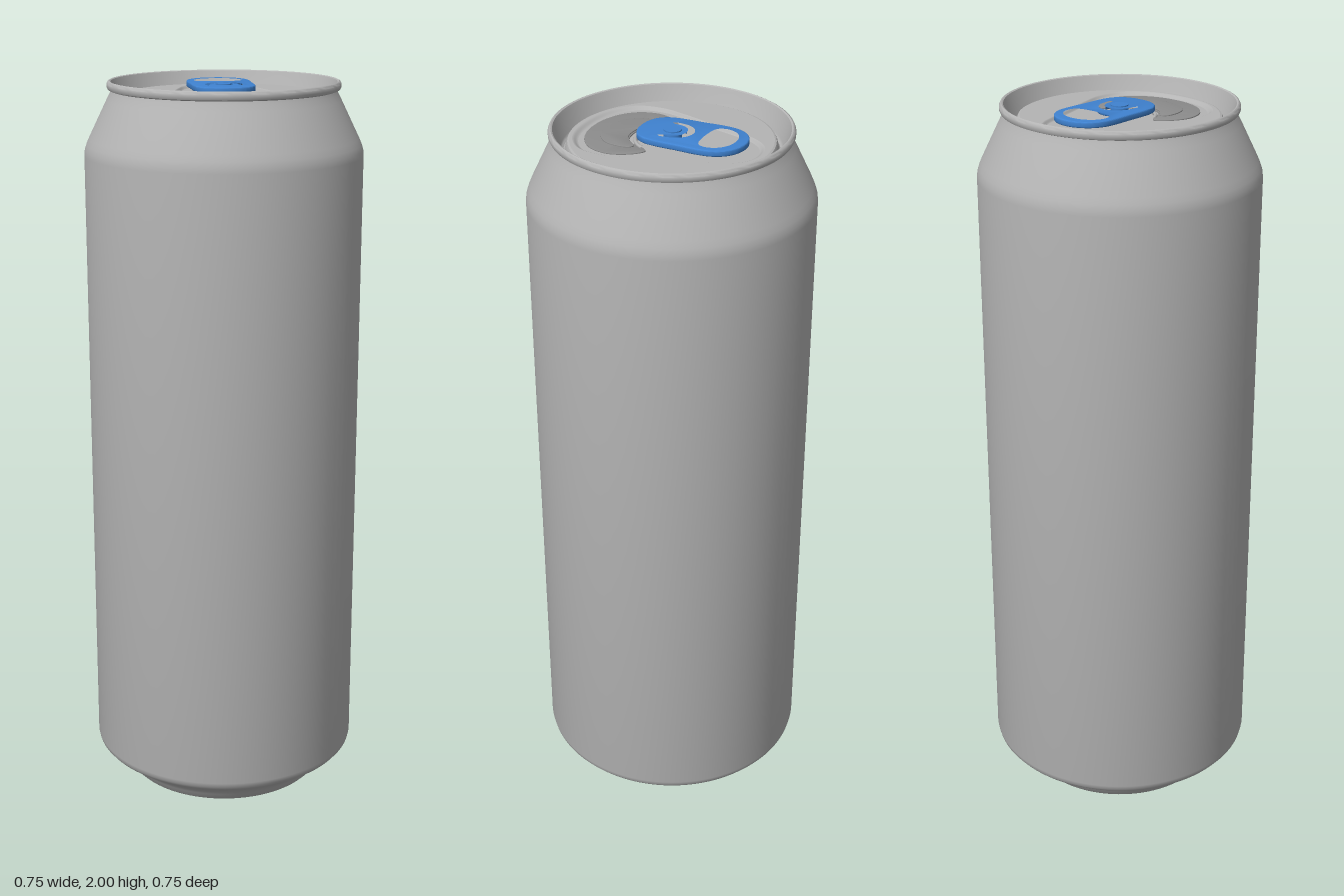
import * as THREE from 'three';
import { toCreasedNormals } from 'three/addons/utils/BufferGeometryUtils.js';

const PANEL_Y = 1.966, FLOOR_Y = 1.958;

// Closed smooth outline from its right half, given as [x, z] pairs; shape y is -z
function outline(half, count = 96) {
  const left = half.slice(1, -1).reverse().map(([x, z]) => [-x, z]);
  const pts = [...half, ...left].map(([x, z]) => new THREE.Vector3(x, -z, 0));
  return new THREE.CatmullRomCurve3(pts, true).getPoints(count).slice(0, -1)
    .map(p => new THREE.Vector2(p.x, p.y));
}

// Horizontal plate with a bevelled rim, top face at height top
function plate(points, holes, top, depth, bevel) {
  const shape = new THREE.Shape(points);
  holes.forEach(h => shape.holes.push(new THREE.Path(h)));
  const geo = new THREE.ExtrudeGeometry(shape, {
    depth: depth - 2 * bevel, bevelEnabled: true, bevelThickness: bevel,
    bevelSize: bevel, bevelOffset: -bevel, bevelSegments: 3,
  });
  geo.rotateX(-Math.PI / 2).translate(0, top - depth + bevel, 0);
  return toCreasedNormals(geo, 0.6);
}

// Flat sheet facing up
function sheet(points, holes, y) {
  const shape = new THREE.Shape(points);
  holes.forEach(h => shape.holes.push(new THREE.Path(h)));
  return new THREE.ShapeGeometry(shape).rotateX(-Math.PI / 2).translate(0, y, 0);
}

// Soft step running from the panel down to the recessed floor
function stepBand(points, inset) {
  const rows = 6, n = points.length, pos = [], index = [];
  for (let i = 0; i <= rows; i++) {
    const t = i / rows, s = 1 - (1 - inset) * t;
    const y = PANEL_Y + (FLOOR_Y - PANEL_Y) * t * t * (3 - 2 * t);
    points.forEach(p => pos.push(p.x * s, y, -p.y * s));
  }
  for (let i = 0; i < rows; i++) {
    for (let j = 0; j < n; j++) {
      const k = (j + 1) % n, a = i * n + j, b = i * n + k, c = a + n, d = b + n;
      index.push(a, c, b, b, c, d);
    }
  }
  const geo = new THREE.BufferGeometry();
  geo.setAttribute('position', new THREE.Float32BufferAttribute(pos, 3));
  geo.setIndex(index);
  geo.computeVertexNormals();
  return geo;
}

export function createModel() {
  const material = (name, color) => {
    const m = new THREE.MeshStandardMaterial({ color });
    m.name = name;
    return m;
  };
  const aluminium = material('aluminium', 0xb4b4b4);
  const darkMetal = material('dark metal', 0x8c8c8c);
  const blue = material('blue', 0x3f82d0);

  const group = new THREE.Group();
  group.name = 'drinkCan';
  const add = (name, geo, mat, parent = group) => {
    const mesh = new THREE.Mesh(geo, mat);
    mesh.name = name;
    parent.add(mesh);
    return mesh;
  };

  // Body: domed base, foot, wall, shoulder, rolled rim and lid groove
  const profile = [];
  for (let i = 0; i <= 10; i++) {
    const r = 0.255 * i / 10;
    profile.push([r, 0.02 + 0.085 * (1 - (r / 0.255) ** 2)]);
  }
  profile.push(
    [0.26, 0.006], [0.267, 0], [0.276, 0.001], [0.283, 0.008],
    [0.291, 0.023], [0.302, 0.037], [0.32, 0.052], [0.345, 0.068],
    [0.363, 0.081], [0.372, 0.092], [0.375, 0.105],
    [0.375, 1.805], [0.3735, 1.82], [0.369, 1.834], [0.362, 1.85],
    [0.313, 1.95], [0.304, 1.967], [0.301, 1.975],
    [0.309, 1.978], [0.312, 1.984], [0.312, 1.992], [0.309, 1.998],
    [0.305, 2], [0.301, 1.998], [0.298, 1.99],
    [0.282, 1.945], [0.279, 1.939], [0.275, 1.937], [0.271, 1.94],
    [0.269, 1.947], [0.267, 1.958], [0.264, 1.964], [0.259, PANEL_Y],
  );
  const lathe = new THREE.LatheGeometry(profile.map(([x, y]) => new THREE.Vector2(x, y)), 96);
  add('canBody', toCreasedNormals(lathe, 0.65), aluminium);

  // Lid: flat panel around a shallow tear-shaped recess
  const lid = new THREE.Group();
  lid.name = 'lid';
  group.add(lid);
  const recess = outline([
    [0, -0.247], [0.05, -0.234], [0.086, -0.195], [0.106, -0.14], [0.132, -0.05],
    [0.16, 0.04], [0.175, 0.11], [0.162, 0.18], [0.1, 0.232], [0, 0.25],
  ]);
  const inset = 0.94;
  const disc = new THREE.Path().absarc(0, 0, 0.259, 0, Math.PI * 2).getPoints(96).slice(0, -1);
  add('lidPanel', sheet(disc, [recess], PANEL_Y), aluminium, lid);
  add('recessEdge', stepBand(recess, inset), aluminium, lid);
  add('recessFloor', sheet(recess.map(p => p.clone().multiplyScalar(inset)), [], FLOOR_Y),
    aluminium, lid);

  // Pouring panel with its raised centre
  const mouth = outline([
    [0, 0.108], [0.04, 0.1], [0.066, 0.075], [0.08, 0.04], [0.092, 0.028], [0.115, 0.042],
    [0.14, 0.08], [0.147, 0.115], [0.135, 0.16], [0.1, 0.197], [0.05, 0.219], [0, 0.225],
  ]);
  const mouthCentre = outline([
    [0, 0.112], [0.04, 0.104], [0.064, 0.083], [0.08, 0.067], [0.094, 0.075],
    [0.098, 0.11], [0.088, 0.145], [0.055, 0.175], [0, 0.186],
  ]);
  add('pouringPanel', plate(mouth, [], FLOOR_Y + 0.003, 0.004, 0.001), darkMetal, lid);
  add('pouringPanelCentre', plate(mouthCentre, [], FLOOR_Y + 0.0055, 0.004, 0.001), darkMetal, lid);

  // Bead curving round the nose of the tab
  const bead = new THREE.TorusGeometry(0.09, 0.005, 8, 32, Math.PI * 0.7);
  bead.rotateZ(Math.PI * 0.15).rotateX(Math.PI / 2).translate(0, FLOOR_Y + 0.003, 0.003);
  add('noseBead', bead, aluminium, lid);

  // Pull tab with finger hole, hinge slot and rivet
  const tab = new THREE.Group();
  tab.name = 'pullTab';
  group.add(tab);
  const tabEdge = outline([
    [0, -0.205], [0.035, -0.198], [0.064, -0.178], [0.081, -0.148], [0.086, -0.11], [0.084, -0.05],
    [0.083, 0.005], [0.077, 0.042], [0.06, 0.068], [0.033, 0.082], [0, 0.086],
  ]);
  const fingerHole = outline([
    [0, -0.18], [0.03, -0.175], [0.056, -0.157], [0.068, -0.13], [0.064, -0.105],
    [0.048, -0.093], [0.02, -0.089], [0, -0.088],
  ]);
  const hingeSlot = outline([
    [0, -0.063], [0.03, -0.053], [0.048, -0.028], [0.053, 0], [0.052, 0.015], [0.044, 0.022],
    [0.037, 0.012], [0.034, -0.012], [0.02, -0.032], [0, -0.037],
  ]);
  add('tabPlate', plate(tabEdge, [fingerHole, hingeSlot], 1.988, 0.016, 0.003), blue, tab);
  const rivet = new THREE.CylinderGeometry(0.023, 0.023, 0.034, 32);
  add('rivet', rivet.translate(0, 1.974, -0.002), blue, tab);

  return group;
}
